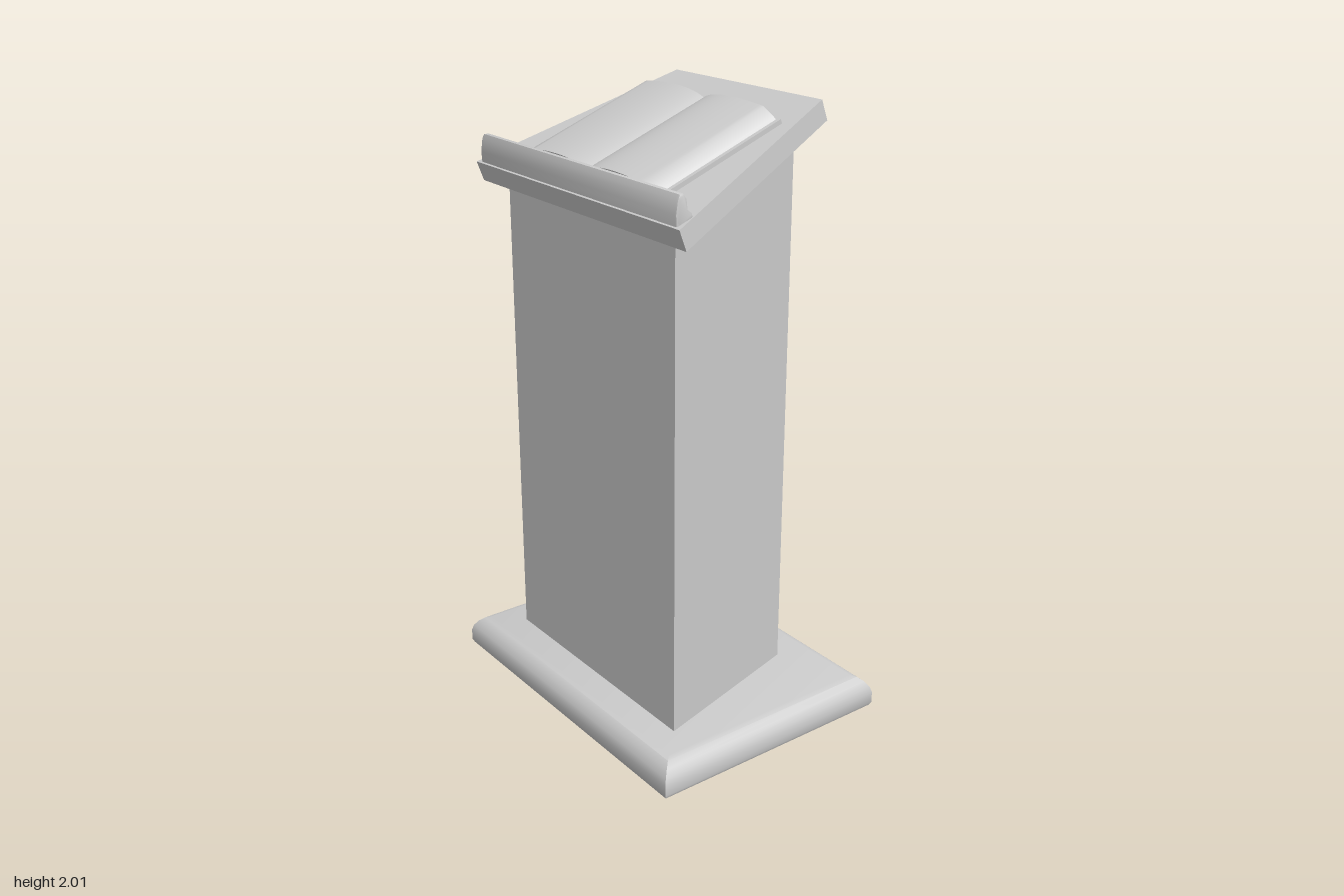
import * as THREE from 'three';
import { toCreasedNormals } from 'three/addons/utils/BufferGeometryUtils.js';

const grey = new THREE.MeshStandardMaterial({ color: 0xcccccc });

function part(parent, name, geometry, crease = 0.7) {
  const mesh = new THREE.Mesh(toCreasedNormals(geometry, crease), grey);
  mesh.name = name;
  parent.add(mesh);
  return mesh;
}

// Closed solid through four-cornered rings listed from bottom to top.
function loft(rings) {
  const pos = [], index = [];
  rings.forEach(ring => ring.forEach(p => pos.push(...p)));
  for (let r = 0; r < rings.length - 1; r++) {
    for (let i = 0; i < 4; i++) {
      const a = r * 4 + i, b = r * 4 + (i + 1) % 4;
      index.push(a, b, b + 4, a, b + 4, a + 4);
    }
  }
  const t = (rings.length - 1) * 4;
  index.push(0, 2, 1, 0, 3, 2, t, t + 1, t + 2, t, t + 2, t + 3);
  const g = new THREE.BufferGeometry();
  g.setAttribute('position', new THREE.Float32BufferAttribute(pos, 3));
  g.setIndex(index);
  return g;
}

// Ring whose left and right ends (x0, x1) have half-widths z0, z1.
const ring = (x0, z0, x1, z1, height) =>
  [[x0, z0], [x1, z1], [x1, -z1], [x0, -z0]].map(([x, z]) => [x, height(x), z]);

function outline(points) {
  return new THREE.Shape(points.map(p => new THREE.Vector2(...p)));
}

export function createModel() {
  const model = new THREE.Group();
  model.name = 'lectern';

  // Base with a rounded upper edge
  const edge = [[0.006, 0], [0, 0.012], [0, 0.05], [0.006, 0.07], [0.02, 0.09], [0.038, 0.105], [0.055, 0.11]];
  part(model, 'base', loft(edge.map(([d, y]) =>
    ring(-0.433 + d, 0.582 - d, 0.433 - d, 0.582 - d, () => y))));

  // Tapered column, cut along the slope of the desk
  const slope = 0.377;
  part(model, 'column', loft([
    ring(-0.29, 0.436, 0.27, 0.284, () => 0.1),
    ring(-0.29, 0.436, 0.27, 0.284, x => 1.72 + (x + 0.35) * slope),
  ]));

  // Tilted desk: local x runs up the slope, y is its normal
  const desk = new THREE.Group();
  desk.name = 'desk';
  desk.position.set(-0.35, 1.755, 0);
  desk.rotation.z = Math.atan(slope);
  model.add(desk);

  part(desk, 'deskTop', loft([
    ring(0, 0.533, 0.71, 0.352, () => -0.068),
    ring(0, 0.533, 0.71, 0.352, () => 0),
  ]));

  // Book cover
  const cover = new THREE.BoxGeometry(0.484, 0.014, 0.686);
  cover.translate(0.312, 0.007, 0);
  part(desk, 'bookCover', cover);

  // Two page blocks curving out from the spine
  const pages = new THREE.Shape();
  pages.moveTo(-0.33, 0.012);
  pages.lineTo(0.33, 0.012);
  pages.lineTo(0.322, 0.022);
  pages.lineTo(0.288, 0.05);
  pages.bezierCurveTo(0.2, 0.062, 0.06, 0.07, 0, 0.034);
  pages.bezierCurveTo(-0.06, 0.07, -0.2, 0.062, -0.288, 0.05);
  pages.lineTo(-0.322, 0.022);
  const block = new THREE.ExtrudeGeometry(pages, { depth: 0.467, bevelEnabled: false, curveSegments: 16 });
  block.rotateY(Math.PI / 2).translate(0.08, 0, 0);
  part(desk, 'bookPages', block, 0.6);

  // Ledge that stops the book sliding off
  const ledge = outline([[-0.343, 1.75], [-0.287, 1.772], [-0.289, 1.788], [-0.304, 1.8],
    [-0.308, 1.83], [-0.318, 1.845], [-0.333, 1.845], [-0.34, 1.83], [-0.346, 1.79]]);
  const ledgeBar = new THREE.ExtrudeGeometry(ledge, {
    depth: 1.01, bevelThickness: 0.008, bevelSize: 0.006, bevelOffset: -0.006, bevelSegments: 2,
  });
  ledgeBar.translate(0, 0, -0.505);
  part(model, 'bookLedge', ledgeBar);

  return model;
}
